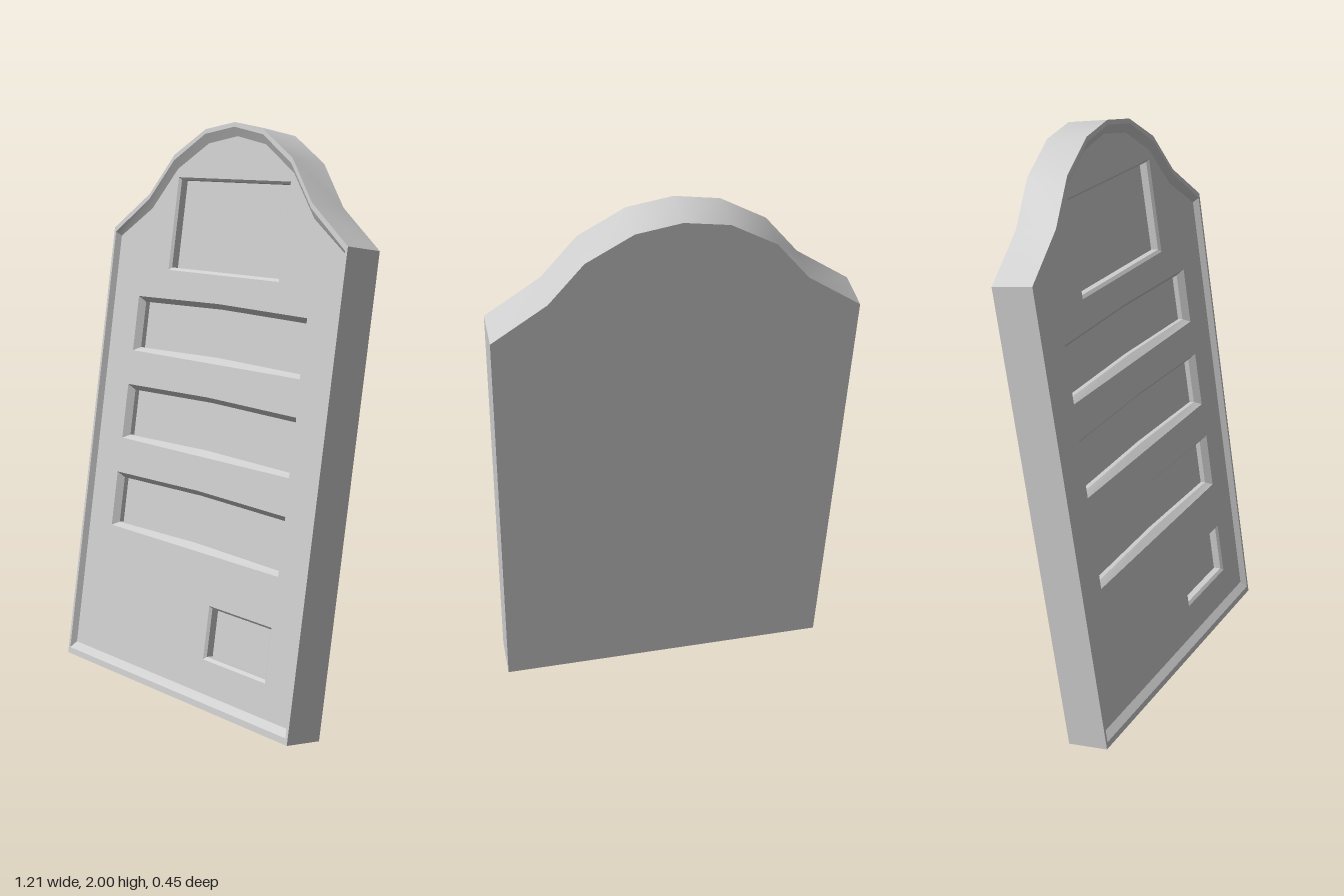
import * as THREE from 'three';
import { toCreasedNormals } from 'three/addons/utils/BufferGeometryUtils.js';

const TILT = 0.153;
const THICK = 0.147;      // slab thickness
const FACE = 0.127;       // depth of the sunken front panel
const material = new THREE.MeshStandardMaterial({ color: 0xcccccc });

// Elevation height to distance along the leaning slab, at local depth z
const along = (y, z) => (y - z * Math.sin(TILT)) / Math.cos(TILT);
const elevate = (pts, z) => pts.map(([x, y]) => [x, along(y, z)]);

// Surface joining matching anticlockwise loops, each { pts, z }
function loft(loops) {
  const pos = [];
  for (let k = 0; k + 1 < loops.length; k++) {
    const a = loops[k], b = loops[k + 1], n = a.pts.length;
    for (let i = 0; i < n; i++) {
      const j = (i + 1) % n;
      const a0 = [...a.pts[i], a.z], a1 = [...a.pts[j], a.z];
      const b0 = [...b.pts[i], b.z], b1 = [...b.pts[j], b.z];
      pos.push(...a0, ...a1, ...b1, ...a0, ...b1, ...b0);
    }
  }
  const g = new THREE.BufferGeometry();
  g.setAttribute('position', new THREE.Float32BufferAttribute(pos, 3));
  return toCreasedNormals(g, 0.4);
}

const toVectors = (pts) => pts.map(([x, y]) => new THREE.Vector2(x, y));

// Flat face with optional holes
function plate(pts, z, holes = []) {
  const shape = new THREE.Shape(toVectors(pts));
  holes.forEach((h) => shape.holes.push(new THREE.Path(toVectors(h))));
  return new THREE.ShapeGeometry(shape).translate(0, 0, z);
}

// Symmetrical outline from its right-hand points, bottom corner up to the crown
function mirrored(half) {
  const left = half.slice(0, -1).reverse().map(([x, y]) => [-x, y]);
  return [...half, ...left];
}

const rectangle = (x0, x1, y0, y1, inset = 0) => [
  [x0 + inset, y0 + inset], [x1 - inset, y0 + inset],
  [x1 - inset, y1 - inset], [x0 + inset, y1 - inset],
];

// Long slot with slightly arched edges
const slot = (w, y0, y1, rise0, rise1) => [
  [-w, y0], [0, y0 + rise0], [w, y0], [w, y1], [0, y1 + rise1], [-w, y1],
];

export function createModel() {
  const model = new THREE.Group();
  model.name = 'leaningPanel';
  const slab = new THREE.Group();
  slab.name = 'slab';
  slab.rotation.x = -TILT;
  slab.position.z = 0.08;
  model.add(slab);
  const add = (name, geometry, parent = slab) => {
    const mesh = new THREE.Mesh(geometry, material);
    mesh.name = name;
    parent.add(mesh);
  };

  // Outer outline, inner edge of the raised rim, and foot of its bevel
  const outer = mirrored([[0.605, 0], [0.605, 1.612], [0.42, 1.743],
    [0.305, 1.885], [0.15, 1.976], [0, 2.001]]);
  const rim = mirrored([[0.595, 0.022], [0.595, 1.597], [0.42, 1.724],
    [0.303, 1.866], [0.149, 1.96], [0, 1.985]]);
  const foot = mirrored([[0.584, 0.046], [0.584, 1.585], [0.42, 1.693],
    [0.3, 1.838], [0.147, 1.93], [0, 1.956]]);

  // Recesses: mouth on the face, foot of the bevel, then straight walls to a floor
  const recesses = [];
  const recess = (name, mouth, throat, bevel, depth) => recesses.push({
    name, bevel, depth,
    mouth: elevate(mouth, FACE),
    throat: elevate(throat, FACE - bevel),
  });
  const window = (name, ...r) =>
    recess(name, rectangle(...r), rectangle(...r, 0.009), 0.008, 0.035);
  window('topWindow', -0.29, 0.29, 1.48, 1.807);
  window('smallWindow', 0.135, 0.45, 0.18, 0.365);
  [[0.442, 1.178], [0.447, 0.857], [0.452, 0.534]].forEach(([w, y], i) => {
    recess(`slot${i + 1}`, slot(w, y, y + 0.197, 0, 0.008),
      slot(w - 0.018, y + 0.011, y + 0.176, 0.008, 0.008), 0.022, 0.04);
  });

  // Body
  add('sidesAndRim', loft([
    { pts: outer, z: 0 }, { pts: outer, z: THICK },
    { pts: rim, z: THICK }, { pts: foot, z: FACE },
  ]));
  add('back', plate(outer, 0).rotateY(Math.PI));
  add('frontFace', plate(foot, FACE, recesses.map((r) => r.mouth)));

  // Recess walls and floors
  for (const r of recesses) {
    const group = new THREE.Group();
    group.name = r.name;
    slab.add(group);
    add('walls', loft([
      { pts: r.mouth, z: FACE },
      { pts: r.throat, z: FACE - r.bevel },
      { pts: r.throat, z: FACE - r.depth },
    ]), group);
    add('floor', plate(r.throat, FACE - r.depth), group);
  }
  return model;
}
